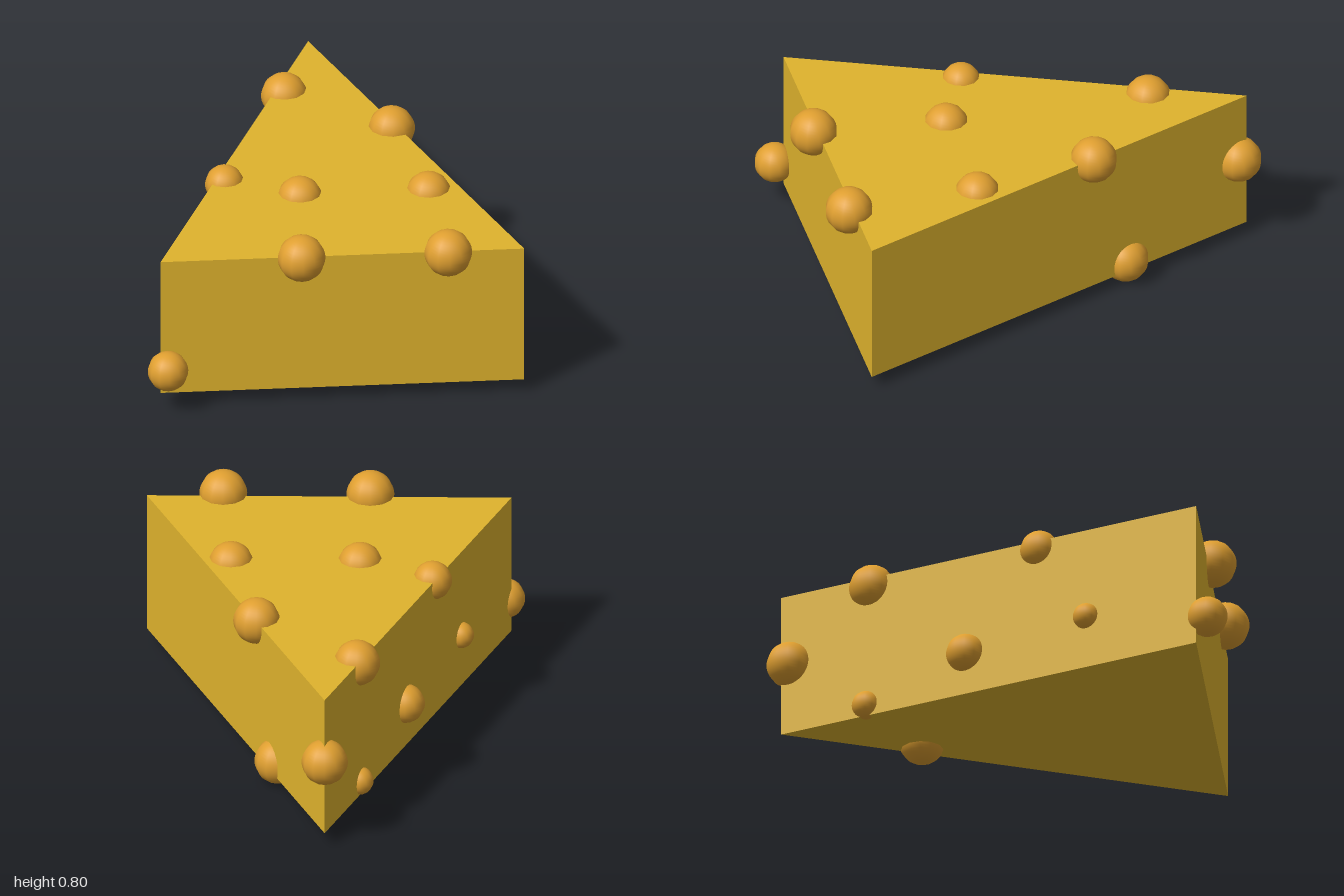
import * as THREE from 'three';

export function createModel() {
  const model = new THREE.Group();
  model.name = 'cheeseWedge';
  const cheese = new THREE.MeshStandardMaterial({ color: 0xdfb32d });
  const bubble = new THREE.MeshStandardMaterial({ color: 0xdf9f30 });

  // triangular wedge, tip towards the back
  const outline = new THREE.Shape([
    new THREE.Vector2(-0.735, -0.87),
    new THREE.Vector2(0.79, -0.87),
    new THREE.Vector2(0.02, 0.938),
  ]);
  const wedgeGeometry = new THREE.ExtrudeGeometry(outline, { depth: 0.63, bevelEnabled: false });
  wedgeGeometry.rotateX(-Math.PI / 2).translate(0, 0.06, 0);
  const wedge = new THREE.Mesh(wedgeGeometry, cheese);
  wedge.name = 'wedge';
  model.add(wedge);

  // round bubbles half sunk in the faces: x, y, z, radius
  const addBubbles = (name, list) => {
    const group = new THREE.Group();
    group.name = name;
    for (const [x, y, z, r] of list) {
      const ball = new THREE.Mesh(new THREE.SphereGeometry(r, 12, 24), bubble);
      ball.name = 'bubble';
      ball.position.set(x, y, z);
      group.add(ball);
    }
    model.add(group);
  };
  addBubbles('topBubbles', [
    [-0.11, 0.66, 0.325, 0.095],
    [0.43, 0.66, 0.325, 0.095],
    [0.315, 0.675, -0.205, 0.098],
    [-0.11, 0.66, -0.545, 0.097],
    [-0.415, 0.663, 0.185, 0.082],
  ]);
  addBubbles('frontBubbles', [
    [-0.145, 0.695, 0.888, 0.1],
    [0.47, 0.695, 0.888, 0.1],
    [-0.707, 0.19, 0.915, 0.085],
  ]);
  addBubbles('sideBubbles', [
    [0.02, 0.38, -0.903, 0.097],
    [0.225, 0.097, -0.365, 0.097],
    [-0.305, 0.25, -0.135, 0.083],
    [-0.53, 0.295, 0.39, 0.056],
    [-0.12, 0.115, -0.57, 0.06],
  ]);
  return model;
}
